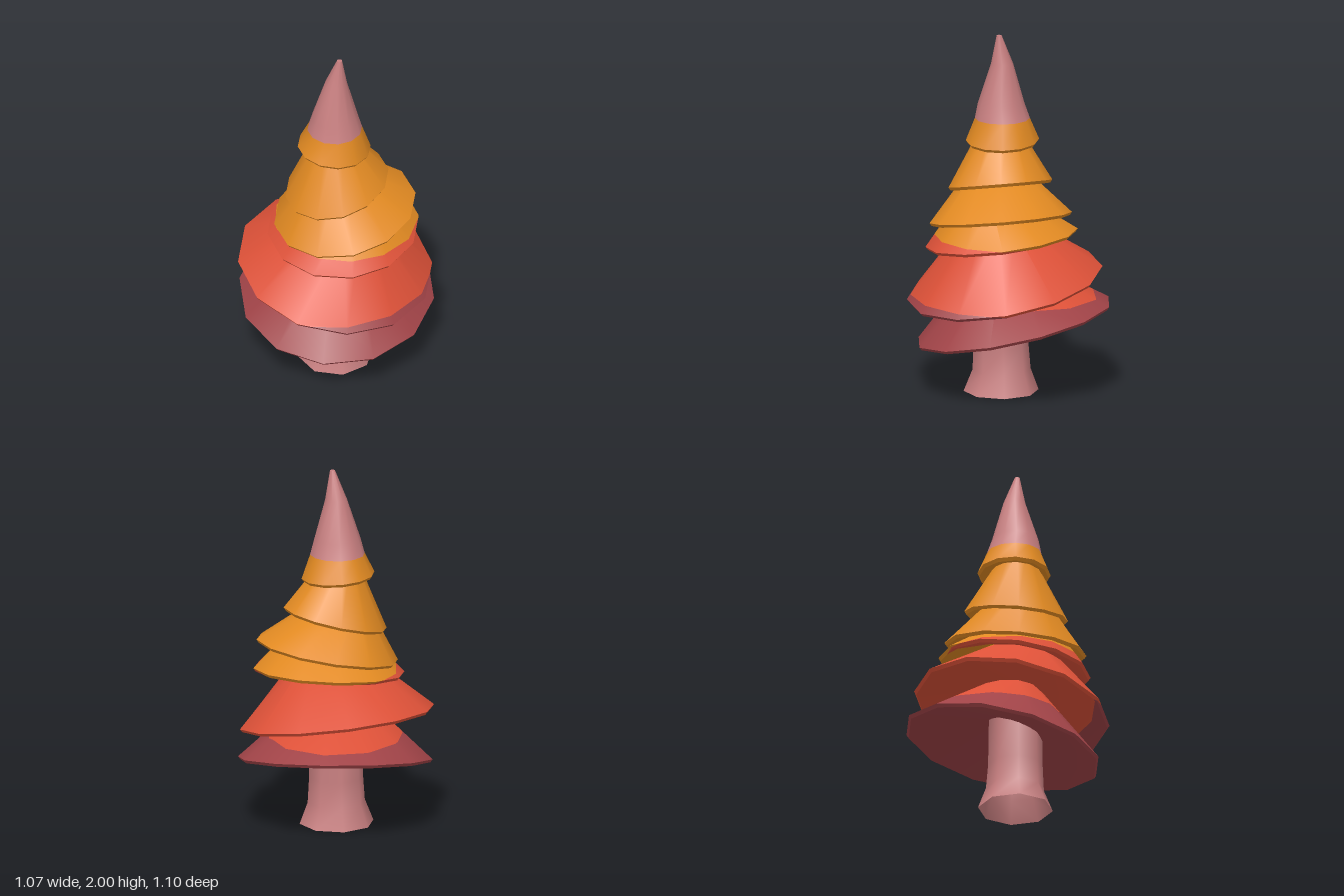
import * as THREE from 'three';
import { toCreasedNormals } from 'three/addons/utils/BufferGeometryUtils.js';

const mat = (name, color) => {
  const m = new THREE.MeshStandardMaterial({ color });
  m.name = name;
  return m;
};

// A ring is { c: [x, y, z], r, tilt: [slope along x, slope along z] }.
function ringPoints({ c, r, tilt = [0, 0] }, sides, phase) {
  return Array.from({ length: sides }, (_, k) => {
    const a = phase + (k / sides) * Math.PI * 2;
    const dx = Math.cos(a) * r, dz = Math.sin(a) * r;
    return new THREE.Vector3(c[0] + dx, c[1] + tilt[0] * dx + tilt[1] * dz, c[2] + dz);
  });
}

// Loft through rings; a ring of radius 0 closes an end.
function loft(rings, sides, phase, crease) {
  const loops = rings.map((r) => ringPoints(r, sides, phase));
  const pts = [];
  for (let k = 0; k < sides; k++) {
    const n = (k + 1) % sides;
    for (let i = 0; i + 1 < loops.length; i++) {
      const a = loops[i], b = loops[i + 1];
      if (rings[i].r) pts.push(a[k], b[k], a[n]);
      if (rings[i + 1].r) pts.push(a[n], b[k], b[n]);
    }
  }
  return toCreasedNormals(new THREE.BufferGeometry().setFromPoints(pts), crease);
}

// Keep the part of a polygon on one side of a horizontal plane.
function clip(poly, y, sign) {
  const out = [];
  poly.forEach((a, i) => {
    const b = poly[(i + 1) % poly.length];
    const da = (a.p.y - y) * sign, db = (b.p.y - y) * sign;
    if (da >= 0) out.push(a);
    if (da * db < 0) {
      const t = da / (da - db);
      out.push({ p: a.p.clone().lerp(b.p, t), n: a.n.clone().lerp(b.n, t).normalize() });
    }
  });
  return out;
}

// Cut out the slice of a geometry between two heights.
function slice(geo, y0, y1) {
  const P = geo.attributes.position, N = geo.attributes.normal;
  const pos = [], nor = [];
  for (let i = 0; i < P.count; i += 3) {
    let poly = [0, 1, 2].map((j) => ({
      p: new THREE.Vector3().fromBufferAttribute(P, i + j),
      n: new THREE.Vector3().fromBufferAttribute(N, i + j),
    }));
    poly = clip(clip(poly, y0, 1), y1, -1);
    for (let j = 1; j + 1 < poly.length; j++) {
      for (const v of [poly[0], poly[j], poly[j + 1]]) {
        pos.push(...v.p.toArray());
        nor.push(...v.n.toArray());
      }
    }
  }
  const g = new THREE.BufferGeometry();
  g.setAttribute('position', new THREE.Float32BufferAttribute(pos, 3));
  g.setAttribute('normal', new THREE.Float32BufferAttribute(nor, 3));
  return g;
}

export function createModel() {
  const tree = new THREE.Group();
  tree.name = 'tree';
  const pink = mat('dusty pink', 0xc87f80);
  pink.side = THREE.DoubleSide;
  const bands = [
    { from: -1, to: 0.54, m: mat('dark red', 0xa04347) },
    { from: 0.54, to: 0.89, m: mat('coral red', 0xdd5138) },
    { from: 0.89, to: 1.53, m: mat('orange', 0xe28a22) },
    { from: 1.53, to: 3, m: pink },
  ];

  // Flared trunk, open at the base
  const trunk = new THREE.Mesh(loft([
    { c: [0.01, 0, 0.028], r: 0.205 },
    { c: [0.01, 0.12, 0.025], r: 0.159 },
    { c: [0.012, 0.26, 0.027], r: 0.15 },
    { c: [0.012, 0.58, 0.027], r: 0.145 },
  ], 8, 0.19, 1), pink);
  trunk.name = 'trunk';
  tree.add(trunk);

  // Tilted branch tiers: rim centre, rim radius, rim tilt, then the rings above
  const tiers = [
    { c: [-0.012, 0.378, -0.04], r: 0.535, tilt: [-0.08, -0.205], phase: Math.PI / 12,
      up: [{ c: [0, 0.7, -0.01], r: 0.18 }] },
    { c: [0, 0.596, 0.011], r: 0.533, tilt: [-0.17, -0.1],
      up: [{ c: [0.04, 0.95, 0.03], r: 0.18 }] },
    { c: [0.045, 0.86, 0.005], r: 0.415, tilt: [-0.01, -0.135],
      up: [{ c: [0.08, 1.1, 0.05], r: 0.17 }] },
    { c: [0.055, 0.975, 0.005], r: 0.388, tilt: [0.12, -0.16],
      up: [{ c: [0, 1.25, 0.06], r: 0.14 }] },
    { c: [0.018, 1.155, 0.028], r: 0.283, tilt: [0.17, -0.19],
      up: [{ c: [-0.005, 1.5, 0.045], r: 0.09 }] },
    { c: [0, 1.4, 0.025], r: 0.2, tilt: [-0.07, 0.02],
      up: [{ c: [0.003, 1.53, 0.024], r: 0.15 }, { c: [0.006, 1.615, 0.03], r: 0.127 },
        { c: [0.01, 1.84, 0.022], r: 0.06 }, { c: [0.033, 2, 0.027], r: 0.014 }] },
  ];
  tiers.forEach(({ c, r, tilt, phase = 0, up }, i) => {
    const ring = (radius, dy) => ({ c: [c[0], c[1] + dy, c[2]], r: radius, tilt });
    const end = { c: up[up.length - 1].c, r: 0 };
    // Hollowed underside, bevelled rim, sloping top
    const geo = loft([ring(0, 0.3 * r), ring(r - 0.012, -0.009), ring(r, 0.008), ...up, end],
      12, phase, 0.8);
    const tier = new THREE.Group();
    tier.name = i === tiers.length - 1 ? 'treeTop' : `branchTier${i + 1}`;
    for (const { from, to, m } of bands) {
      const part = slice(geo, from, to);
      if (!part.attributes.position.count) continue;
      const mesh = new THREE.Mesh(part, m);
      mesh.name = `${tier.name} ${m.name} band`;
      tier.add(mesh);
    }
    tree.add(tier);
  });
  return tree;
}
